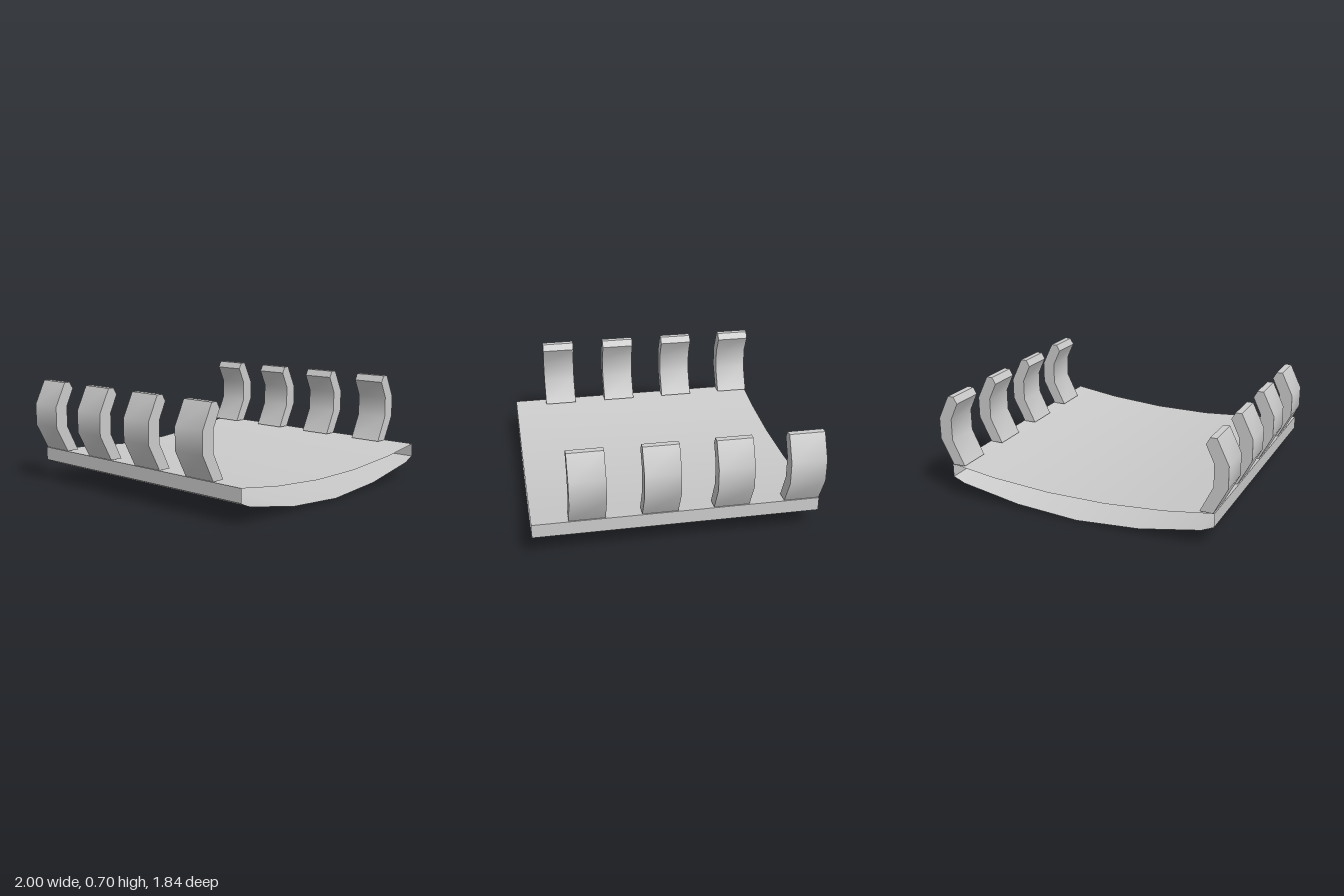
import * as THREE from 'three';
import { toCreasedNormals } from 'three/addons/utils/BufferGeometryUtils.js';

const material = new THREE.MeshStandardMaterial({ color: 0xcccccc, side: THREE.DoubleSide });
const HALF = 0.92;     // half width and half depth of the tray
const CLIP_W = 0.23;   // clip width along z
const CREASE = 0.6;

// Open-ended sleeve: sweeps a closed counterclockwise section along z, without end caps
function sleeve(section, halfDepth) {
  const positions = [];
  section.forEach(([px, py], i) => {
    const [qx, qy] = section[(i + 1) % section.length];
    const a = [px, py, halfDepth], b = [px, py, -halfDepth];
    const c = [qx, qy, halfDepth], d = [qx, qy, -halfDepth];
    positions.push(...a, ...b, ...c, ...c, ...b, ...d);
  });
  const geometry = new THREE.BufferGeometry();
  geometry.setAttribute('position', new THREE.Float32BufferAttribute(positions, 3));
  return toCreasedNormals(geometry, CREASE);
}

// Bent clip profile for the +x side, mirrored with side = -1
function clipGeometry(side) {
  const profile = [
    [0.826, 0.23], [0.912, 0.23], [1, 0.4], [1, 0.545], [0.922, 0.705],
    [0.88, 0.705], [0.855, 0.66], [0.909, 0.545], [0.909, 0.4],
  ];
  const shape = new THREE.Shape(profile.map(([x, y]) => new THREE.Vector2(x * side, y)));
  const geometry = new THREE.ExtrudeGeometry(shape, { depth: CLIP_W, bevelEnabled: false });
  return toCreasedNormals(geometry, CREASE);
}

export function createModel() {
  const group = new THREE.Group();

  // Curved tray: deeper underside, shallower top, straight side walls
  const under = [[-HALF, 0.14], [-0.84, 0.105], [-0.43, 0.03], [0, 0], [0.43, 0.03], [0.84, 0.105], [HALF, 0.14]];
  const top = [[HALF, 0.23], [0.6, 0.185], [0.2, 0.156], [-0.2, 0.156], [-0.6, 0.185], [-HALF, 0.23]];
  const tray = new THREE.Mesh(sleeve([...under, ...top], HALF), material);
  tray.name = 'curvedTray';
  group.add(tray);

  // Four clips along each side, starting flush with the back
  for (const side of [1, -1]) {
    const geometry = clipGeometry(side);
    for (let i = 0; i < 4; i++) {
      const clip = new THREE.Mesh(geometry, material);
      clip.name = `${side > 0 ? 'left' : 'right'}Clip${i + 1}`;
      clip.position.z = -HALF + i * CLIP_W * 2;
      group.add(clip);
    }
  }
  return group;
}
